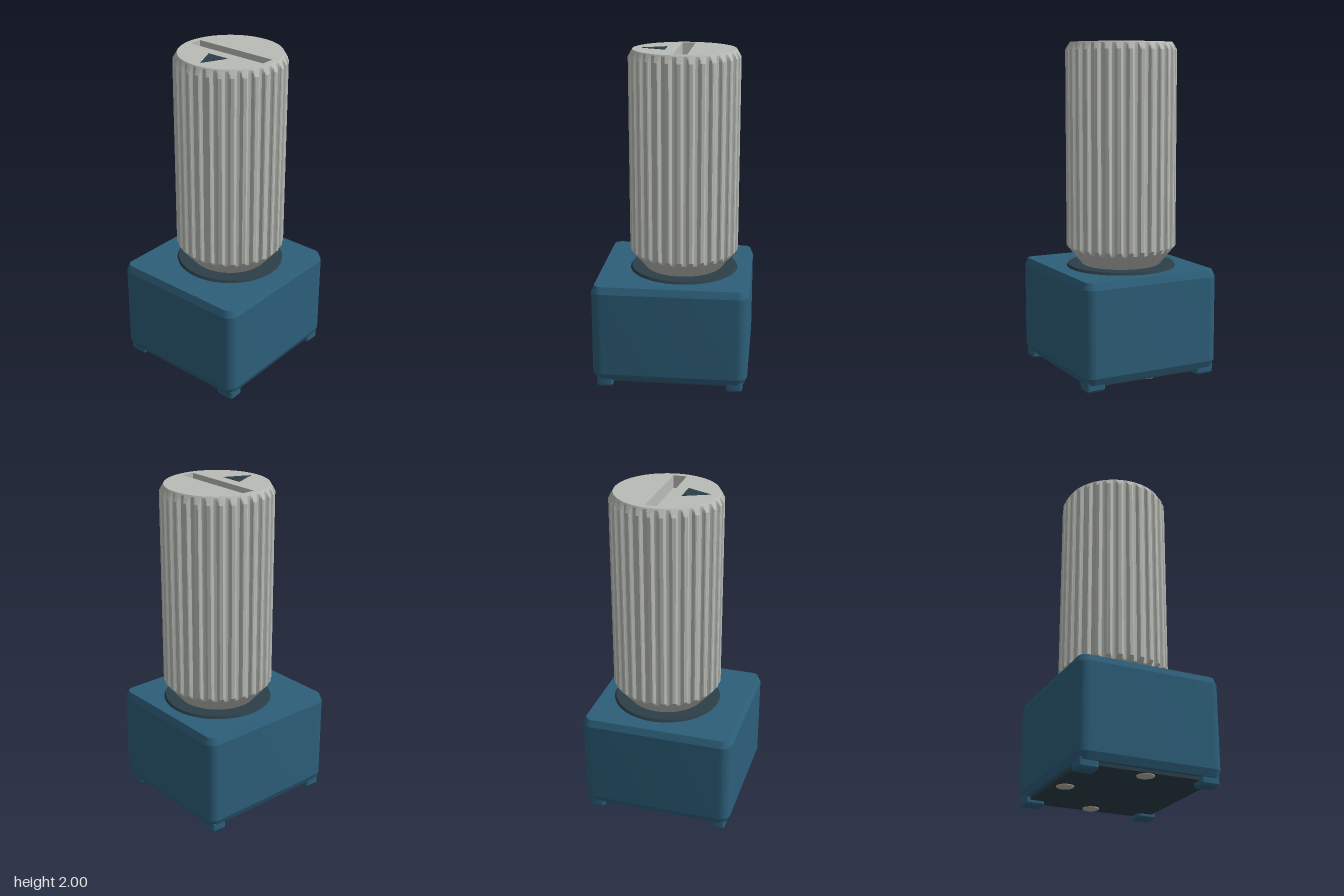
import * as THREE from 'three';
import { toCreasedNormals } from 'three/addons/utils/BufferGeometryUtils.js';

const mat = (name, color) => {
  const m = new THREE.MeshStandardMaterial({ color });
  m.name = name;
  return m;
};

const roundedRect = (hx, hz, r) => {
  const s = new THREE.Shape();
  s.absarc(hx - r, hz - r, r, 0, Math.PI / 2);
  s.absarc(-hx + r, hz - r, r, Math.PI / 2, Math.PI);
  s.absarc(-hx + r, -hz + r, r, Math.PI, Math.PI * 1.5);
  s.absarc(hx - r, -hz + r, r, Math.PI * 1.5, Math.PI * 2);
  s.closePath();
  return s;
};

// Extrude a flat outline upwards from y0 to y1, with optional chamfered rims
function slab(shape, y0, y1, chamfer = 0, inset = 0, curveSegments = 8) {
  const g = new THREE.ExtrudeGeometry(shape, {
    depth: y1 - y0 - 2 * chamfer, curveSegments,
    bevelEnabled: chamfer > 0, bevelSegments: 1,
    bevelThickness: chamfer, bevelSize: inset, bevelOffset: -inset,
  });
  g.rotateX(-Math.PI / 2);
  g.translate(0, y0 + chamfer, 0);
  return toCreasedNormals(g, 0.35);
}

// Fluted side of the knob: each ring is the fluted outline clipped by the end cones
function flutedSide() {
  const R = 0.335, flutes = 30, rBottom = 0.235, rTop = 0.308, rFlute = 0.313;
  const outline = [ // position within one flute pitch, radius
    [0, rFlute], [0.13, rFlute + 0.001], [0.22, rFlute + 0.008], [0.27, R - 0.004],
    [0.36, R], [0.64, R], [0.73, R - 0.004], [0.78, rFlute + 0.008], [0.87, rFlute + 0.001],
  ];
  const rings = [
    [0.655, rBottom], [0.749, rFlute], [0.765, 0.327], [0.775, R],
    [1.955, R], [1.975, 0.323], [1.992, rFlute], [2, rTop],
  ];
  const n = flutes * outline.length, pos = [], index = [];
  for (const [y, limit] of rings) {
    for (let i = 0; i < n; i++) {
      const [t, r] = outline[i % outline.length];
      const a = (Math.floor(i / outline.length) + t) / flutes * Math.PI * 2 - Math.PI / 2;
      const rr = Math.min(r, limit);
      pos.push(Math.cos(a) * rr, y, Math.sin(a) * rr);
    }
  }
  for (let k = 0; k < rings.length - 1; k++) {
    for (let i = 0; i < n; i++) {
      const j = (i + 1) % n, a = k * n + i, b = k * n + j;
      index.push(a, a + n, b, b, a + n, b + n);
    }
  }
  const g = new THREE.BufferGeometry();
  g.setAttribute('position', new THREE.Float32BufferAttribute(pos, 3));
  g.setIndex(index);
  return toCreasedNormals(g, 0.4);
}

export function createModel() {
  const blue = mat('housingBlue', 0x2d5f7a);
  const grey = mat('knobGrey', 0xb9bcb6);
  const dark = mat('darkSlate', 0x2c3e48);
  const metal = mat('pinMetal', 0xbcb4a8);

  const model = new THREE.Group();
  const add = (parent, name, geometry, material, x = 0, y = 0, z = 0) => {
    const m = new THREE.Mesh(geometry, material);
    m.name = name;
    m.position.set(x, y, z);
    parent.add(m);
    return m;
  };

  // Housing with chamfered rims, and its base plate
  add(model, 'housing', slab(roundedRect(0.443, 0.47, 0.065), 0.045, 0.645, 0.042, 0.018), blue);
  add(model, 'basePlate', slab(roundedRect(0.4, 0.425, 0.03), 0.026, 0.05), dark);

  // Corner feet, tapered towards the ground
  const footGeometry = slab(roundedRect(0.06, 0.05, 0.018), 0, 0.07, 0.012, 0.008, 4);
  for (const sx of [-1, 1]) {
    for (const sz of [-1, 1]) add(model, 'foot', footGeometry, blue, sx * 0.368, 0, sz * 0.393);
  }

  // Three contact pins under the base
  const pinGeometry = new THREE.CylinderGeometry(0.055, 0.05, 0.02, 32);
  for (const [x, z] of [[0, -0.37], [0, 0.37], [-0.32, 0]]) {
    add(model, 'contactPin', pinGeometry, metal, x, 0.031, z);
  }

  // Knob assembly, set slightly behind the centre
  const knob = new THREE.Group();
  knob.name = 'knob';
  knob.position.z = -0.05;
  model.add(knob);
  add(knob, 'collar', new THREE.CylinderGeometry(0.325, 0.335, 0.018, 64), dark, 0, 0.651, 0);
  add(knob, 'flutedSide', flutedSide(), grey);

  // Knob top with a screwdriver slot
  const cap = new THREE.Shape();
  cap.absarc(0, 0, 0.308, 0, Math.PI * 2);
  const slot = new THREE.Path();
  slot.moveTo(-0.27, -0.041);
  slot.lineTo(-0.27, 0.041);
  slot.lineTo(0.27, 0.041);
  slot.lineTo(0.27, -0.041);
  slot.closePath();
  cap.holes.push(slot);
  add(knob, 'slottedTop', slab(cap, 1.92, 2, 0, 0, 64), grey);
  add(knob, 'slotFloor', new THREE.BoxGeometry(0.56, 0.01, 0.1), grey, 0, 1.917, 0);

  // Pointer triangle
  const pointer = new THREE.Shape();
  pointer.moveTo(-0.07, -0.11);
  pointer.lineTo(0, -0.26);
  pointer.lineTo(0.07, -0.11);
  pointer.closePath();
  add(knob, 'pointerMark', slab(pointer, 1.998, 2.002), dark);

  return model;
}
